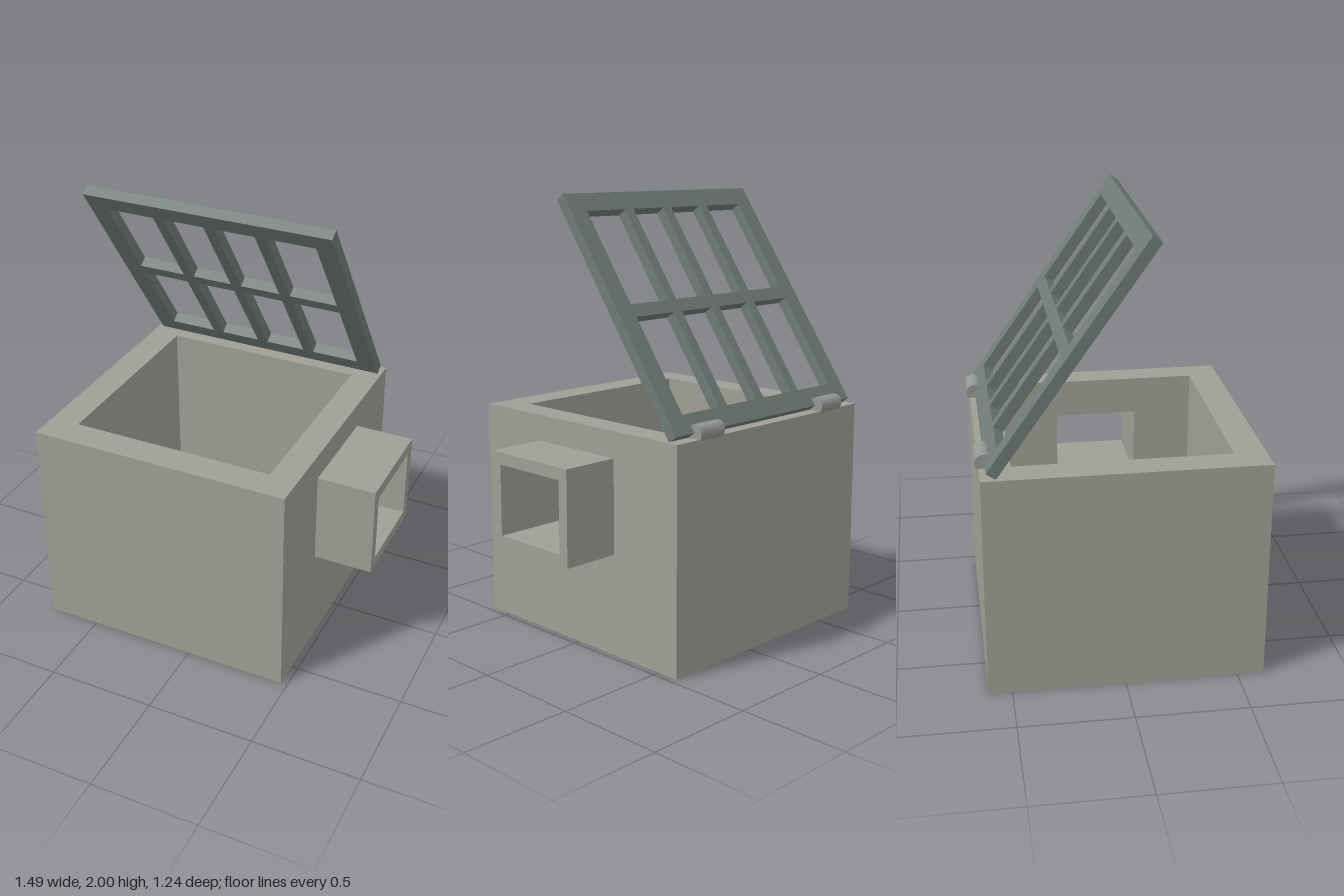
import * as THREE from 'three';

// Closed outline from [x, y] pairs
const outline = (pts, Type = THREE.Shape) => new Type(pts.map(([x, y]) => new THREE.Vector2(x, y)));
const rect = (x0, y0, x1, y1) => [[x0, y0], [x1, y0], [x1, y1], [x0, y1]];

function extrude(points, holes, depth) {
  const shape = outline(points);
  holes.forEach((h) => shape.holes.push(outline(h, THREE.Path)));
  return new THREE.ExtrudeGeometry(shape, { depth, bevelEnabled: false });
}

export function createModel() {
  const model = new THREE.Group();
  const concrete = new THREE.MeshStandardMaterial({ color: 0x9f9f96 });
  const iron = new THREE.MeshStandardMaterial({ color: 0x6f7a75 });
  const steel = new THREE.MeshStandardMaterial({ color: 0x949894 });

  function add(name, geometry, material, parent = model) {
    const mesh = new THREE.Mesh(geometry, material);
    mesh.name = name;
    parent.add(mesh);
    return mesh;
  }

  // Main dimensions of the open chamber
  const top = 1.015, floorTop = 0.13;
  const x0 = -0.745, x1 = 0.47, z0 = -0.605, z1 = 0.62;
  const ix0 = -0.61, ix1 = 0.34, iz0 = -0.47, iz1 = 0.48;
  const opening = rect(-0.18, 0.515, 0.205, 0.84);

  const chamber = new THREE.Group();
  chamber.name = 'chamber';
  model.add(chamber);

  // Back, right and front walls as one U in plan
  const u = [[ix1, z0], [ix1, iz0], [ix0, iz0], [ix0, iz1], [ix1, iz1], [ix1, z1], [x0, z1], [x0, z0]];
  add('chamberWalls', extrude(u, [], top).rotateX(Math.PI / 2).translate(0, top, 0), concrete, chamber);

  // Left wall, pierced for the duct
  add('ductWall', extrude(rect(z0, 0, z1, top), [opening], x1 - ix1)
    .rotateY(-Math.PI / 2).translate(x1, 0, 0), concrete, chamber);

  // Floor between the walls
  add('chamberFloor', new THREE.BoxGeometry(ix1 - ix0, floorTop, iz1 - iz0)
    .translate((ix0 + ix1) / 2, floorTop / 2, (iz0 + iz1) / 2), concrete, chamber);

  // Square duct projecting from the left wall
  add('duct', extrude(rect(-0.23, 0.465, 0.255, 0.895), [opening], 0.27)
    .rotateY(-Math.PI / 2).translate(0.74, 0, 0), concrete);

  // Grate lid, raised on its back edge
  const columns = [[-0.635, -0.407], [-0.355, -0.163], [-0.112, 0.08], [0.132, 0.36]];
  const rows = [[0.09, 0.557], [0.618, 1.085]];
  const cells = columns.flatMap(([a, b]) => rows.map(([c, d]) => rect(a, c, b, d)));
  const grate = add('grateLid', extrude(rect(-0.725, 0, 0.45, 1.175), cells, 0.05), iron);
  grate.position.set(0, 1.04, -0.58);
  grate.rotation.x = THREE.MathUtils.degToRad(35);

  // Hinge barrels
  for (const x of [-0.543, 0.268]) {
    const hinge = add('hinge', new THREE.CylinderGeometry(0.038, 0.038, 0.146, 16), steel);
    hinge.rotation.z = Math.PI / 2;
    hinge.position.set(x, 1.04, -0.583);
  }
  return model;
}
